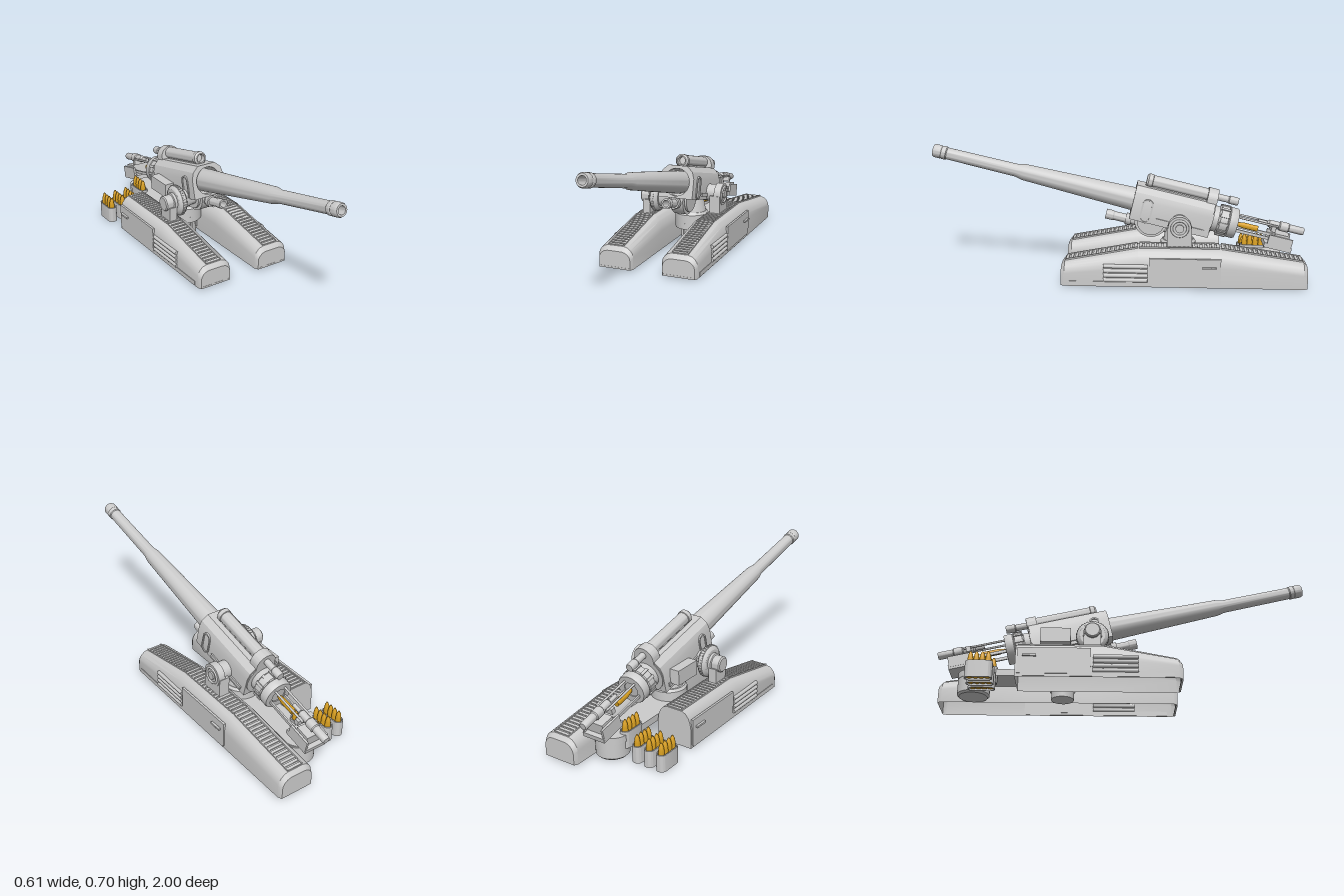
import * as THREE from 'three';
import { toCreasedNormals } from 'three/addons/utils/BufferGeometryUtils.js';

const grey = new THREE.MeshStandardMaterial({ color: 0xcccccc });
const thin = new THREE.MeshStandardMaterial({ color: 0xcccccc, side: THREE.DoubleSide });
const brass = new THREE.MeshStandardMaterial({ color: 0xd9a020 });

function add(parent, name, geo, x = 0, y = 0, z = 0, mat = grey) {
  const m = new THREE.Mesh(geo, mat);
  m.name = name;
  m.position.set(x, y, z);
  parent.add(m);
  return m;
}
const box = (w, h, d) => new THREE.BoxGeometry(w, h, d);
const cylY = (rTop, rBottom, len, n = 32) => new THREE.CylinderGeometry(rTop, rBottom, len, n);
const cylZ = (rFront, rBack, len, n = 32) => cylY(rFront, rBack, len, n).rotateX(Math.PI / 2);
const cylX = (r, len, n = 32) => cylY(r, r, len, n).rotateZ(Math.PI / 2);
// profile of [radius, distance] pairs turned about an axis
const turn = (pts, n = 40) => toCreasedNormals(
  new THREE.LatheGeometry(pts.map(p => new THREE.Vector2(p[0], p[1])), n), 0.5);
const turnZ = (pts, n) => turn(pts, n).rotateX(Math.PI / 2);
const extrude = (shape, depth) => toCreasedNormals(
  new THREE.ExtrudeGeometry(shape, { depth, bevelEnabled: false, curveSegments: 20 }), 0.5);

// stadium outline, long in the second axis
function stadium(r, halfLen, S = THREE.Shape) {
  const s = new S();
  s.absarc(0, halfLen, r, 0, Math.PI, false);
  s.absarc(0, -halfLen, r, Math.PI, Math.PI * 2, false);
  s.closePath();
  return s;
}

// rounded box section lofted along z, open underneath; rows are [z, height, widthScale]
function loft(rows) {
  const half = [[0.1, 0], [0.1, 0.55], [0.096, 0.7], [0.085, 0.84], [0.068, 0.95], [0.046, 1]];
  const sec = [...half, ...half.slice().reverse().map(([x, y]) => [-x, y])];
  const pos = [], n = sec.length;
  const pt = ([z, h, s], i) => [sec[i][0] * s, 0.008 + sec[i][1] * (h - 0.008), z];
  for (let r = 0; r < rows.length - 1; r++)
    for (let i = 0; i < n - 1; i++) {
      const a = pt(rows[r], i), b = pt(rows[r], i + 1), c = pt(rows[r + 1], i), d = pt(rows[r + 1], i + 1);
      pos.push(...a, ...c, ...b, ...b, ...c, ...d);
    }
  const last = rows[rows.length - 1];
  for (let i = 1; i < n - 1; i++) {
    pos.push(...pt(rows[0], 0), ...pt(rows[0], i), ...pt(rows[0], i + 1));
    pos.push(...pt(last, 0), ...pt(last, i + 1), ...pt(last, i));
  }
  const g = new THREE.BufferGeometry();
  g.setAttribute('position', new THREE.Float32BufferAttribute(pos, 3));
  return toCreasedNormals(g, 0.5);
}

// side pontoon; side is +1 or -1
function pontoon(side, rows) {
  const g = new THREE.Group();
  g.name = side > 0 ? 'leftPontoon' : 'rightPontoon';
  g.position.x = side * 0.183;
  add(g, 'hull', loft(rows), 0, 0, 0, thin);
  // rails and treads along the sloping top
  for (let i = 1; i < rows.length - 1; i++) {
    const [z0, h0] = rows[i], [z1, h1] = rows[i + 1];
    const len = Math.hypot(z1 - z0, h1 - h0), tilt = Math.atan2(h1 - h0, z0 - z1);
    if (len < 0.1) continue;
    const strip = new THREE.Group();
    strip.name = 'treadStrip';
    strip.position.set(0, (h0 + h1) / 2, (z0 + z1) / 2);
    strip.rotation.x = tilt;
    g.add(strip);
    for (const s of [-1, 1]) add(strip, 'rail', box(0.006, 0.012, len - 0.01), s * 0.043, 0.002, 0);
    const n = Math.floor(len / 0.024);
    for (let k = 0; k < n; k++)
      add(strip, 'tread', box(0.08, 0.008, 0.015), 0, 0.001, (k + 0.5) * len / n - len / 2);
  }
  // raised frame on the nose
  add(g, 'noseSill', box(0.17, 0.01, 0.01), 0, 0.013, 0.281);
  // door, louvres and handles on the outer face
  add(g, 'door', box(0.012, 0.14, 0.37), side * 0.1, 0.095, -0.365);
  add(g, 'lowerStrake', box(0.008, 0.025, 0.78), side * 0.099, 0.024, -0.15);
  for (let i = 0; i < 4; i++) add(g, 'louvre', cylZ(0.011, 0.011, 0.23, 10), side * 0.1, 0.045 + i * 0.025, -0.055);
  add(g, 'doorHandle', box(0.012, 0.01, 0.07), side * 0.113, 0.12, -0.49);
  add(g, 'handleStem', cylX(0.005, 0.03, 10), side * 0.106, 0.12, -0.5);
  return g;
}

function makeGun() {
  const gun = new THREE.Group();
  gun.name = 'gun';
  gun.position.set(0.018, 0.358, -0.33);
  gun.rotation.x = -0.233;

  add(gun, 'barrel', turnZ([[0, -0.25], [0.062, -0.25], [0.063, 0.25], [0.058, 0.4], [0.044, 0.86], [0.035, 0.9],
    [0.032, 1.28], [0.036, 1.285], [0.036, 1.305], [0.033, 1.31], [0.036, 1.315], [0.036, 1.345],
    [0.031, 1.356], [0.021, 1.356], [0.02, 1.1], [0, 1.1]]));

  // eight-sided cradle around the barrel
  const c = new THREE.Shape([[-0.1, -0.088], [0.1, -0.088], [0.1, 0.025], [0.088, 0.062], [0.055, 0.092],
    [-0.055, 0.092], [-0.088, 0.062], [-0.1, 0.025]].map(p => new THREE.Vector2(...p)));
  c.holes.push(new THREE.Path().absarc(0, 0, 0.076, 0, Math.PI * 2, true));
  add(gun, 'cradle', extrude(c, 0.43), 0, 0, -0.18);
  for (const s of [-1, 1]) {
    const frame = stadium(0.03, 0.035);
    frame.holes.push(stadium(0.022, 0.035, THREE.Path));
    add(gun, 'sideHatchFrame', extrude(frame, 0.01).rotateY(Math.PI / 2), s * 0.101 - 0.005, -0.025, 0.17);
    add(gun, 'cradleRib', box(0.014, 0.02, 0.26), s * 0.1, -0.06, -0.02);
  }

  // breech ring
  add(gun, 'breechNeck', cylZ(0.07, 0.07, 0.06), 0, 0, -0.2);
  add(gun, 'breechRing', turnZ([[0, -0.315], [0.04, -0.315], [0.04, -0.32], [0.078, -0.32], [0.082, -0.312],
    [0.082, -0.275], [0.076, -0.27], [0.082, -0.265], [0.082, -0.225], [0.07, -0.215], [0, -0.215]]));
  for (let i = 0; i < 12; i++) {
    const a = i * Math.PI / 6;
    add(gun, 'breechLug', box(0.014, 0.014, 0.05), Math.cos(a) * 0.08, Math.sin(a) * 0.08, -0.245).rotation.z = a;
  }

  // recoil cylinders and their yoke
  add(gun, 'upperRecoilCylinder', turnZ([[0, -0.15], [0.033, -0.15], [0.033, 0.17], [0.037, 0.172], [0.037, 0.195],
    [0.028, 0.205], [0.022, 0.205], [0.02, 0.18], [0, 0.18]], 28), 0, 0.12, 0);
  add(gun, 'recoilSaddle', box(0.05, 0.04, 0.28), 0, 0.088, 0.02);
  add(gun, 'recoilRod', turnZ([[0, -0.3], [0.02, -0.3], [0.022, -0.29], [0.022, -0.25], [0.018, -0.245], [0.018, -0.14]], 24), 0, 0.12, 0);
  add(gun, 'yoke', extrude(stadium(0.058, 0.05), 0.055), 0, 0.052, -0.185);
  add(gun, 'yokeRing', cylZ(0.096, 0.096, 0.05), 0, 0, -0.16);
  add(gun, 'lowerRecoilTube', turnZ([[0, -0.1], [0.024, -0.1], [0.024, 0.33], [0.027, 0.335], [0.027, 0.375],
    [0.018, 0.375], [0.018, 0.25], [0, 0.25]], 28), 0, -0.117, 0);
  add(gun, 'tubeClamp', cylZ(0.034, 0.034, 0.03, 8), 0, -0.117, 0.25);
  add(gun, 'elevatingSector', cylX(0.09, 0.07), 0, -0.088, 0.13);
  for (const s of [-1, 1]) add(gun, 'sectorCheek', cylX(0.075, 0.012), s * 0.045, -0.088, 0.13);

  // loading gear behind the breech
  for (const s of [-1, 1]) {
    add(gun, 'guideRod', cylZ(0.006, 0.006, 0.24, 10), s * 0.03, 0.045, -0.42);
    add(gun, 'trayRail', box(0.01, 0.016, 0.25), s * 0.045, -0.025, -0.44);
    add(gun, 'trayWall', box(0.012, 0.06, 0.13), s * 0.06, -0.03, -0.565);
  }
  add(gun, 'trayFloor', box(0.13, 0.025, 0.15), 0, -0.06, -0.56);
  add(gun, 'trayBlock', box(0.1, 0.06, 0.08), 0, -0.02, -0.57);
  add(gun, 'rammer', turnZ([[0, -0.682], [0.018, -0.682], [0.021, -0.675], [0.021, -0.6], [0.026, -0.595], [0.026, -0.55],
    [0.02, -0.545], [0.02, -0.49], [0.01, -0.48], [0.01, -0.43], [0, -0.43]], 24), 0, 0.045, 0);
  add(gun, 'rammerCrosshead', box(0.1, 0.03, 0.025), 0, 0.03, -0.515);
  add(gun, 'loadedShell', turnZ([[0, -0.44], [0.016, -0.44], [0.016, -0.36], [0.01, -0.325], [0, -0.31]], 16), 0, 0, 0, brass);
  return gun;
}

// floor rack holding a row of four shells
function shellRack(x, y) {
  const g = new THREE.Group();
  g.name = 'shellRack';
  g.position.set(x, y, -0.74);
  const wall = stadium(0.027, 0.043);
  wall.holes.push(stadium(0.021, 0.043, THREE.Path));
  add(g, 'rackWall', extrude(wall, 0.09).rotateX(-Math.PI / 2));
  const shell = turn([[0, 0.006], [0.015, 0.006], [0.015, 0.105], [0.011, 0.13], [0.004, 0.146], [0, 0.148]], 14);
  for (let i = 0; i < 4; i++) add(g, 'shell', shell, 0, 0, (i - 1.5) * 0.03, brass);
  return g;
}

export function createModel() {
  const model = new THREE.Group();
  model.name = 'fieldGun';
  const front = [[0.285, 0.105, 0.9], [0.265, 0.13, 1], [-0.12, 0.203, 1]];
  model.add(pontoon(1, [...front, [-0.55, 0.203, 1], [-0.98, 0.14, 1], [-1, 0.118, 0.9]]));
  model.add(pontoon(-1, [...front, [-0.56, 0.203, 1]]));
  model.add(makeGun());

  // turntable and rear loading platform
  add(model, 'column', cylY(0.058, 0.06, 0.11), 0.02, 0.055, -0.33);
  for (let i = 0; i < 8; i++) {
    const a = i * Math.PI / 4;
    add(model, 'columnFin', box(0.012, 0.06, 0.012), 0.02 + Math.sin(a) * 0.06, 0.07, -0.33 + Math.cos(a) * 0.06);
  }
  add(model, 'turntable', turn([[0, 0.1], [0.092, 0.1], [0.095, 0.105], [0.095, 0.185], [0.085, 0.198], [0, 0.198]]), 0.015, 0, -0.33);
  add(model, 'gunPedestal', cylY(0.06, 0.08, 0.1), 0.018, 0.24, -0.33);
  add(model, 'deck', extrude(stadium(0.085, 0.24), 0.035).rotateX(-Math.PI / 2), 0.012, 0.1, -0.56);
  add(model, 'loaderPlatform', turn([[0, 0.01], [0.075, 0.01], [0.085, 0.02], [0.085, 0.125], [0.078, 0.135],
    [0.07, 0.135], [0.07, 0.115], [0, 0.115]]), 0.015, 0, -0.8);

  // left bearing
  add(model, 'leftPedestal', box(0.06, 0.11, 0.13), 0.175, 0.25, -0.335);
  add(model, 'leftShaft', cylX(0.048, 0.1), 0.14, 0.31, -0.335);
  add(model, 'leftBearing', cylX(0.062, 0.04), 0.188, 0.306, -0.335);
  add(model, 'leftBearingRim', new THREE.TorusGeometry(0.042, 0.007, 8, 32).rotateY(Math.PI / 2), 0.208, 0.306, -0.335);
  add(model, 'leftBearingHub', cylX(0.022, 0.02), 0.206, 0.306, -0.335);

  // right bearing with the toothed elevating wheel
  const rz = -0.175, ry = 0.302;
  add(model, 'rightPedestal', box(0.045, 0.1, 0.09), -0.183, 0.235, rz);
  add(model, 'rightShaft', turn([[0, 0.222], [0.036, 0.222], [0.042, 0.216], [0.042, 0.175], [0.05, 0.172],
    [0.05, 0.11], [0.056, 0.105], [0.045, 0.05], [0.045, 0], [0, 0]].reverse(), 32).rotateZ(Math.PI / 2), 0, ry, rz);
  add(model, 'elevatingWheel', turn([[0, 0.105], [0.066, 0.105], [0.08, 0.115], [0.084, 0.122], [0.084, 0.142],
    [0.08, 0.148], [0.066, 0.157], [0, 0.157]]).rotateZ(Math.PI / 2), 0, ry, rz);
  for (let i = 0; i < 36; i++) {
    const a = i * Math.PI / 18;
    add(model, 'wheelTooth', box(0.016, 0.007, 0.007), -0.132, ry + Math.sin(a) * 0.084, rz + Math.cos(a) * 0.084).rotation.x = -a;
  }
  add(model, 'gearCase', box(0.07, 0.08, 0.16), -0.1, 0.31, -0.37);

  for (let i = 0; i < 4; i++) model.add(shellRack(-0.27 + i * 0.072, i === 3 ? 0.06 : 0));
  return model;
}
